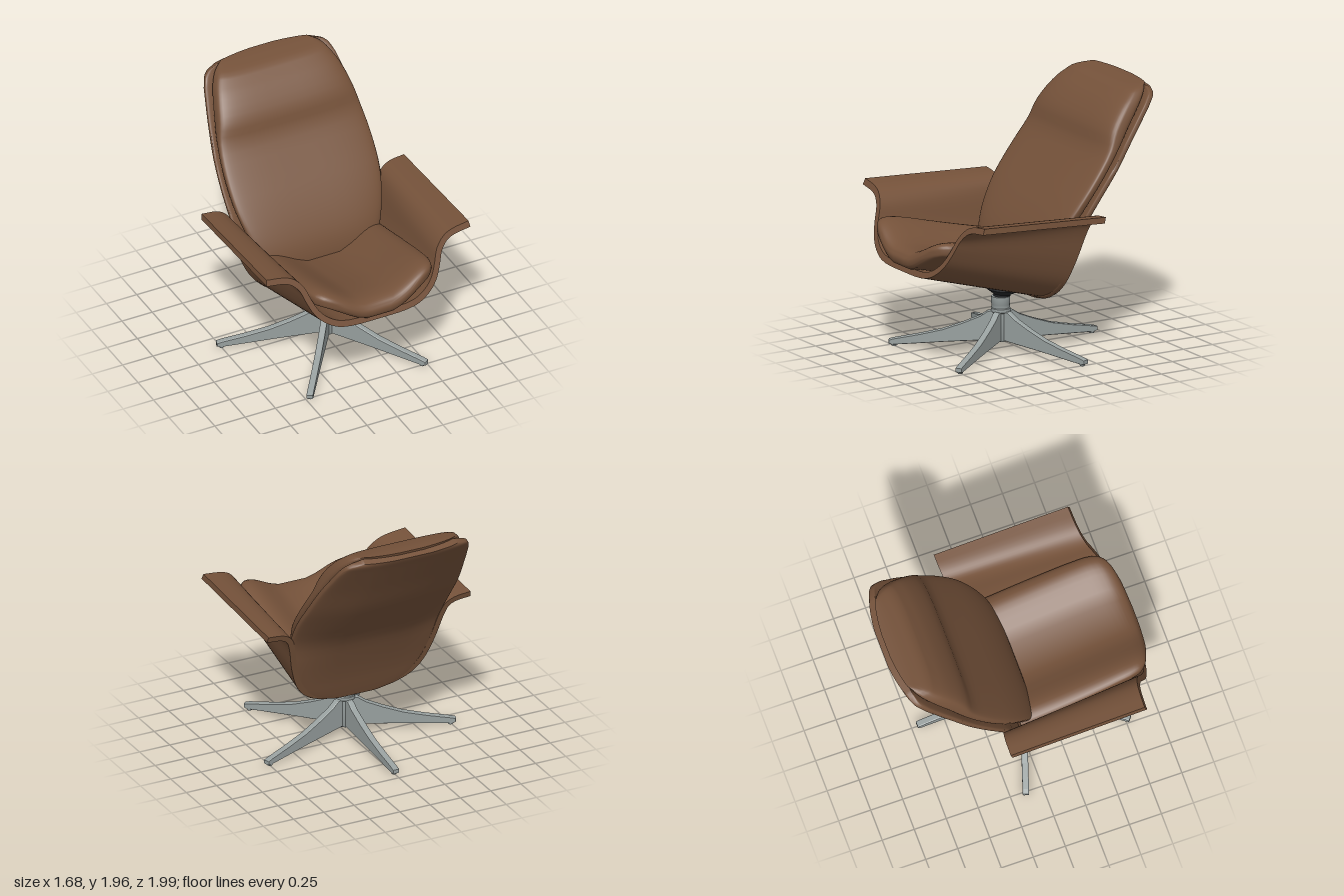
import * as THREE from 'three';
import { toCreasedNormals } from 'three/addons/utils/BufferGeometryUtils.js';

const leather = new THREE.MeshStandardMaterial({ color: 0x75523a });
leather.name = 'brownLeather';
const metal = new THREE.MeshStandardMaterial({ color: 0x98a09f });
metal.name = 'greyMetal';
const black = new THREE.MeshStandardMaterial({ color: 0x25272a });
black.name = 'blackSwivel';

const PIVOT_Z = 0.115;

function part(name, geometry, material) {
  const mesh = new THREE.Mesh(geometry, material);
  mesh.name = name;
  return mesh;
}

// Skin a row of closed rings and close both ends with strips.
function loft(rings, crease = 0.8) {
  const n = rings[0].length, pos = [], idx = [];
  rings.forEach(r => r.forEach(p => pos.push(...p)));
  for (let i = 0; i < rings.length - 1; i++) {
    for (let j = 0; j < n; j++) {
      const a = i * n + j, b = i * n + (j + 1) % n;
      idx.push(a, b, b + n, a, b + n, a + n);
    }
  }
  const last = (rings.length - 1) * n;
  for (let j = 0; j < n / 2 - 1; j++) {
    const a = j, b = j + 1, c = n - 2 - j, d = n - 1 - j;
    idx.push(a, c, b, a, d, c);
    idx.push(last + a, last + b, last + c, last + a, last + c, last + d);
  }
  const g = new THREE.BufferGeometry();
  g.setAttribute('position', new THREE.Float32BufferAttribute(pos, 3));
  g.setIndex(idx);
  return toCreasedNormals(g, crease);
}

// Smoothly resample a table of rows; the first column is the position.
function resample(rows, steps) {
  const size = rows[0].length - 1;
  const curve = new THREE.CubicInterpolant(rows.map(r => r[0]), rows.flatMap(r => r.slice(1)), size, new Array(size));
  const out = [];
  for (let i = 0; i < rows.length - 1; i++) {
    for (let k = 0; k < steps; k++) {
      const t = rows[i][0] + (rows[i + 1][0] - rows[i][0]) * k / steps;
      out.push([t, ...Array.from(curve.evaluate(t))]);
    }
  }
  out.push(rows[rows.length - 1]);
  return out;
}

// Rounded-rectangle ring: u runs across, s runs from back (-1) to front (1).
function ring(power, place, n = 48) {
  const soft = v => Math.sign(v) * Math.abs(v) ** power;
  return Array.from({ length: n }, (_, j) => {
    const a = (j + 0.5) / n * Math.PI * 2;
    return place(soft(Math.cos(a)), soft(Math.sin(a)));
  });
}

// Seat shell with flared arms: one U section blended from back to front.
function bucketGeometry() {
  const frontHalf = [[0, 0.70], [0.3, 0.715], [0.42, 0.77], [0.5, 0.85], [0.55, 0.95], [0.585, 1.04], [0.64, 1.10], [0.7, 1.125], [0.84, 1.145]];
  const rearHalf = [[0, 0.40], [0.28, 0.42], [0.43, 0.48], [0.52, 0.58], [0.59, 0.76], [0.64, 0.97], [0.67, 1.04], [0.72, 1.07], [0.84, 1.085]];
  const section = half => {
    const full = [...half.slice(1).reverse().map(([x, y]) => [-x, y]), ...half];
    const curve = new THREE.CatmullRomCurve3(full.map(([x, y]) => new THREE.Vector3(x, y, 0)), false, 'centripetal');
    const outer = curve.getPoints(64);
    const inner = outer.map((p, i) => {
      const t = curve.getTangent(i / 64);
      return new THREE.Vector3(p.x - t.y * 0.045, p.y + t.x * 0.045, 0);
    });
    return [...outer, ...inner.reverse()];
  };
  const front = section(frontHalf), rear = section(rearHalf);
  const rings = [];
  for (let i = 0; i <= 10; i++) {
    const t = i / 10;
    rings.push(rear.map((r, j) => {
      const f = front[j];
      const zr = -0.08 - (r.y - 0.40) * 0.27, zf = 0.96 - (f.y - 0.70) * 0.39;
      return [r.x + (f.x - r.x) * t, r.y + (f.y - r.y) * t, zr + (zf - zr) * t];
    }));
  }
  return loft(rings);
}

// Leaning back shell. Rows: y, half width, rear z, forward curl of the edges.
const shellRows = [
  [0.405, 0.2, -0.08, 0], [0.43, 0.33, -0.09, 0.005], [0.5, 0.45, -0.115, 0.01], [0.6, 0.525, -0.15, 0.02],
  [0.8, 0.585, -0.235, 0.05], [1.0, 0.615, -0.34, 0.10], [1.2, 0.63, -0.505, 0.14], [1.4, 0.62, -0.66, 0.14],
  [1.6, 0.59, -0.785, 0.12], [1.75, 0.555, -0.88, 0.095], [1.86, 0.52, -0.95, 0.075], [1.91, 0.475, -0.982, 0.06],
  [1.935, 0.40, -0.995, 0.05],
];
function backShellGeometry() {
  return loft(resample(shellRows, 3).map(([y, w, z, curl]) => ring(0.35, (u, s) =>
    [u * w, y - s * 0.012, z + 0.03 - s * 0.03 + curl * u * u])
  ));
}

// Back cushion with a head bump. Rows: y, half width, rear z, curl, front z.
function backCushionGeometry() {
  const rows = [
    [0.55, 0.42, -0.09, 0.01, 0.05], [0.65, 0.46, -0.125, 0.02, 0.07], [0.8, 0.505, -0.19, 0.05, 0.045],
    [0.95, 0.55, -0.265, 0.09, -0.025], [1.137, 0.595, -0.41, 0.13, -0.145], [1.35, 0.603, -0.575, 0.14, -0.305],
    [1.54, 0.582, -0.70, 0.125, -0.44], [1.68, 0.553, -0.79, 0.105, -0.487], [1.82, 0.51, -0.88, 0.08, -0.594],
    [1.90, 0.465, -0.93, 0.065, -0.69], [1.94, 0.42, -0.95, 0.055, -0.765], [1.96, 0.36, -0.955, 0.04, -0.89],
  ];
  return loft(resample(rows, 3).map(([y, w, zb, curl, zf]) => ring(0.5, (u, s) => {
    const back = zb + curl * u * u;
    return [u * w, y, back + (zf - back) * (1 - s) / 2];
  })), 1.0);
}

// Dished seat cushion. Rows: z, half width, top y, bottom y at the middle.
function seatCushionGeometry() {
  const rows = [
    [-0.08, 0.52, 0.66, 0.45], [0.2, 0.52, 0.72, 0.53], [0.5, 0.515, 0.79, 0.615], [0.75, 0.505, 0.85, 0.69],
    [0.88, 0.492, 0.868, 0.725], [0.95, 0.46, 0.86, 0.738], [0.985, 0.39, 0.838, 0.75], [1.0, 0.28, 0.81, 0.775],
  ];
  return loft(resample(rows, 3).map(([z, w, top, bottom]) => ring(0.5, (u, s) => {
    const x = u * w;
    const rise = 0.145 * THREE.MathUtils.smoothstep(Math.abs(x), 0.08, 0.46);
    return [x, bottom + (top - bottom) * (s + 1) / 2 + rise, z - 0.3 * x * x * Math.max(0, z)];
  })), 1.0);
}

// One tapering leg of the star base, drawn along +x.
function legGeometry() {
  const profile = [[0, 0.06], [0.06, 0.066], [0.4, 0.045], [0.8, 0.014], [0.82, 0.022], [0.82, 0.046], [0.79, 0.055],
    [0.6, 0.092], [0.43, 0.132], [0.28, 0.185], [0.15, 0.24], [0.09, 0.28], [0, 0.285]];
  const shape = new THREE.Shape(profile.map(p => new THREE.Vector2(...p)));
  const g = new THREE.ExtrudeGeometry(shape, { depth: 0.034, bevelThickness: 0.007, bevelSize: 0.004, bevelSegments: 1 });
  return g.translate(0, 0, -0.017);
}

export function createModel() {
  const chair = new THREE.Group();
  chair.name = 'loungeChair';

  chair.add(
    part('seatShellWithArms', bucketGeometry(), leather),
    part('backShell', backShellGeometry(), leather),
    part('backCushion', backCushionGeometry(), leather),
    part('seatCushion', seatCushionGeometry(), leather),
  );

  // Swivel base with five legs
  const base = new THREE.Group();
  base.name = 'swivelBase';
  base.position.z = PIVOT_Z;
  const lathe = pts => toCreasedNormals(new THREE.LatheGeometry(pts.map(p => new THREE.Vector2(...p)), 24), 0.6);
  const swivel = part('swivelMount', lathe([[0, 0.37], [0.055, 0.37], [0.065, 0.41], [0.12, 0.445], [0.12, 0.475], [0, 0.475]]), black);
  swivel.rotation.x = -0.1;
  swivel.position.z = 0.03;
  base.add(swivel);
  base.add(part('column', lathe([[0, 0.055], [0.05, 0.055], [0.058, 0.07], [0.058, 0.27], [0.072, 0.28], [0.072, 0.305],
    [0.067, 0.31], [0.067, 0.335], [0.07, 0.34], [0.07, 0.395], [0, 0.395]]), metal));

  const legShape = legGeometry();
  const footShape = new THREE.CylinderGeometry(0.022, 0.018, 0.024, 12);
  for (let i = 0; i < 5; i++) {
    const leg = new THREE.Group();
    leg.name = 'leg' + (i + 1);
    const foot = part('foot', footShape, metal);
    foot.position.set(0.785, 0.012, 0);
    leg.add(part('legArm', legShape, metal), foot);
    leg.rotation.y = Math.PI / 2 + i * Math.PI * 2 / 5;
    base.add(leg);
  }
  chair.add(base);
  return chair;
}
